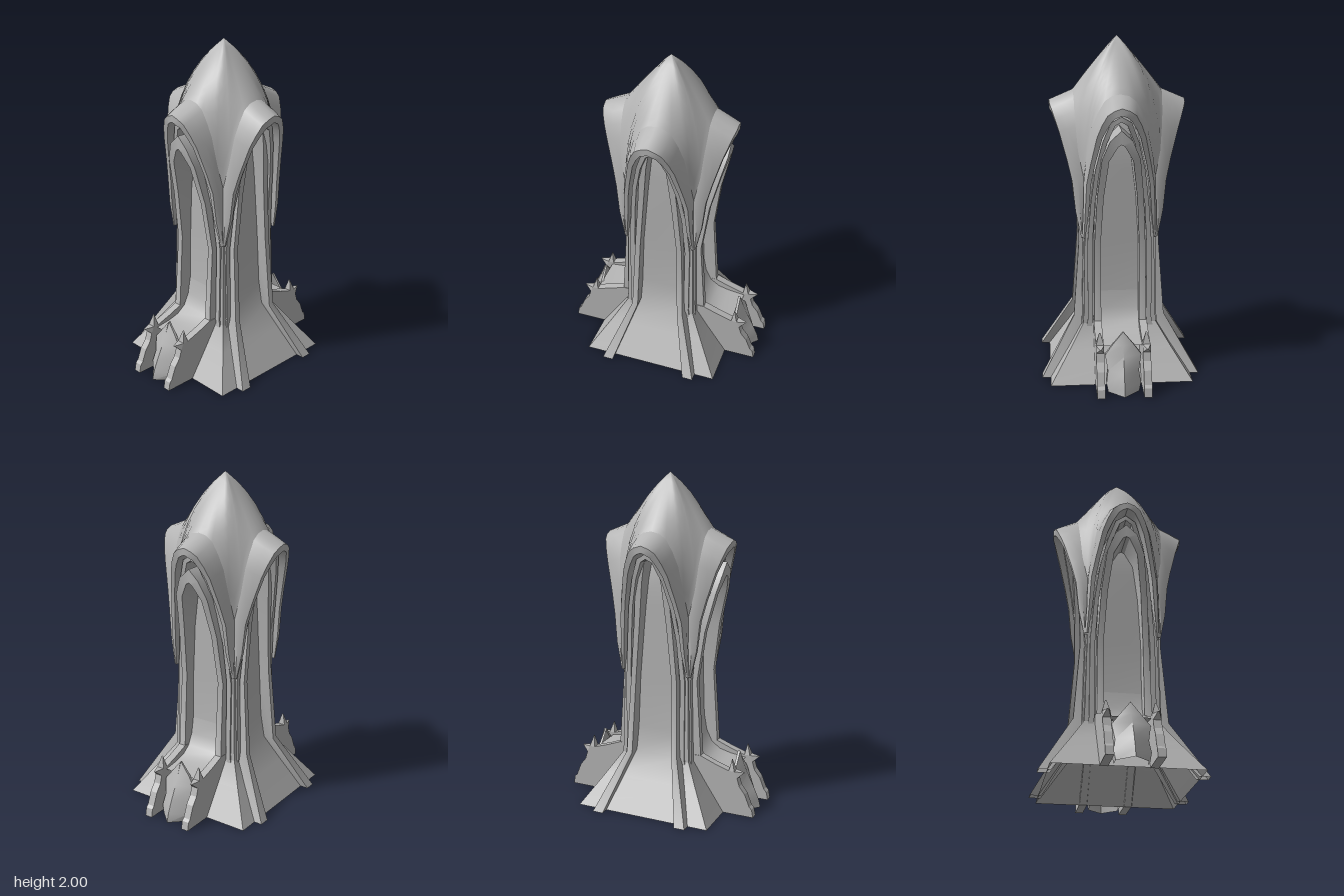
import * as THREE from 'three';
import { toCreasedNormals } from 'three/addons/utils/BufferGeometryUtils.js';

const stone = new THREE.MeshStandardMaterial({ color: 0xb4b4b4, side: THREE.DoubleSide });
stone.name = 'grey stone';

// Surface through rows of [x, y, z] points; columns run left to right, rows top to bottom
function grid(rows, crease = 0.6) {
  const n = rows[0].length, index = [];
  for (let i = 0; i < rows.length - 1; i++) {
    for (let j = 0; j < n - 1; j++) {
      const a = i * n + j, b = a + n;
      index.push(a, b, a + 1, a + 1, b, b + 1);
    }
  }
  const geo = new THREE.BufferGeometry();
  geo.setAttribute('position', new THREE.Float32BufferAttribute(rows.flat(2), 3));
  geo.setIndex(index);
  return toCreasedNormals(geo, crease);
}

function add(parent, name, geo) {
  const mesh = new THREE.Mesh(geo, stone);
  mesh.name = name;
  parent.add(mesh);
  return mesh;
}

// Half path (apex first) to a full left-to-right arch
const mirror = (half) => [
  ...half.slice(1).reverse().map(([u, ...rest]) => [-u, ...rest]),
  ...half,
];

// Open square loft from [halfSize, y, centre] sections, listed top to bottom
function squareLoft(sections) {
  const turn = [[-1, 1], [1, 1], [1, -1], [-1, -1], [-1, 1]];
  return grid(sections.map(([h, y, c = 0]) => turn.map(([x, z]) => [c + x * h, y, c + z * h])), 0.7);
}

// Arch moulding with a rectangular section; half path points are [u, y, w, width].
// Its back sits just behind the shaft wall and follows the flare of the base.
function archFrame(half) {
  const path = mirror(half);
  const rows = [[], [], [], []];
  const backAt = (y) => (y < 0.34 ? 0.19 + (0.34 - y) * 0.62 : 0.15);
  path.forEach(([u, y, w, t], i) => {
    const p = path[Math.max(i - 1, 0)], q = path[Math.min(i + 1, path.length - 1)];
    const dx = q[0] - p[0], dy = q[1] - p[1], len = Math.hypot(dx, dy);
    const iu = u + (dy / len) * t, iy = Math.max(0, y - (dx / len) * t);
    rows[0].push([u, y, backAt(y)]);
    rows[1].push([u, y, w]);
    rows[2].push([iu, iy, w]);
    rows[3].push([iu, iy, backAt(iy)]);
  });
  return grid(rows, 0.5);
}

// Where the crown meets each hood, and the projecting lip of the hood
const crownEdge = [
  [0, 1.69, 0.26], [0.05, 1.68, 0.26], [0.09, 1.65, 0.257], [0.13, 1.58, 0.255], [0.162, 1.5, 0.25],
  [0.19, 1.35, 0.238], [0.208, 1.2, 0.208], [0.208, 1.0, 0.205], [0.215, 0.85, 0.215],
];
const lipEdge = [
  [0, 1.63, 0.4, 0.04], [0.045, 1.615, 0.398, 0.04], [0.08, 1.59, 0.388, 0.04], [0.112, 1.53, 0.368, 0.035],
  [0.138, 1.46, 0.345, 0.03], [0.172, 1.3, 0.302, 0.025], [0.194, 1.18, 0.275, 0.025],
  [0.203, 1.0, 0.257, 0.02], [0.21, 0.84, 0.225, 0.008],
];
const stepArch = [
  [0, 1.575, 0.34, 0.03], [0.06, 1.54, 0.33, 0.03], [0.105, 1.42, 0.3, 0.025], [0.145, 1.25, 0.265, 0.025],
  [0.17, 1.05, 0.235, 0.025], [0.19, 0.8, 0.215, 0.03], [0.19, 0.34, 0.225, 0.03], [0.2, 0.28, 0.23, 0.03],
];
const frontArch = [
  [0, 1.5, 0.36, 0.08], [0.065, 1.44, 0.36, 0.055], [0.11, 1.33, 0.335, 0.042], [0.135, 1.1, 0.28, 0.038],
  [0.15, 0.8, 0.24, 0.036], [0.155, 0.34, 0.27, 0.042], [0.158, 0, 0.45, 0.045],
];
const sideArch = [
  [0, 1.58, 0.28, 0.03], [0.065, 1.53, 0.275, 0.03], [0.1, 1.4, 0.265, 0.04], [0.12, 1.15, 0.247, 0.035],
  [0.148, 0.8, 0.238, 0.032], [0.165, 0.34, 0.272, 0.035], [0.3, 0, 0.47, 0.07],
];

// Pointed crown: columns curve from the tip down to the four hood edges
function crown() {
  const edge = mirror(crownEdge.slice(0, 7));
  const rim = [];
  for (let k = 0; k < 4; k++) {
    const c = Math.round(Math.cos(k * Math.PI / 2)), s = Math.round(Math.sin(k * Math.PI / 2));
    edge.slice(0, -1).forEach(([u, y, w]) => rim.push([u * c + w * s, y, w * c - u * s]));
  }
  rim.push(rim[0]);
  const rows = [];
  for (let i = 0; i <= 8; i++) {
    const t = i / 8, a = 2 * t * (1 - t), b = t * t;
    rows.push(rim.map(([x, y, z]) => {
      const drop = (1.69 - y) / 0.49;
      const pull = 0.6 + 0.5 * drop, cy = 1.83 - 0.08 * drop;
      return [x * (a * pull + b), 2 * (1 - t) ** 2 + a * cy + b * y, z * (a * pull + b)];
    }));
  }
  return grid(rows, 1.2);
}

// Hood: gently swollen skin from the crown out to the lip
function hood() {
  const inner = mirror(crownEdge), outer = mirror(lipEdge).map((p) => p.slice(0, 3));
  const middle = inner.map(([u, y, w], i) => {
    const [lu, ly, lw] = outer[i];
    return [(u + lu) * 0.52, (y + ly) / 2, (w + lw) / 2];
  });
  return grid([inner, middle, outer], 1.2);
}

// Upright buttress with a spiked, scooped outer edge
function finGeometry() {
  const outline = [
    [0.41, 0], [0.61, 0], [0.6, 0.05], [0.585, 0.065], [0.555, 0.14], [0.52, 0.185], [0.505, 0.235], [0.545, 0.27],
    [0.487, 0.275], [0.465, 0.345], [0.452, 0.275], [0.36, 0.305], [0.27, 0.34], [0.2, 0.34], [0.295, 0.18],
  ].map(([z, y]) => new THREE.Vector2(z, y));
  const geo = new THREE.ExtrudeGeometry(new THREE.Shape(outline), { depth: 0.046, bevelEnabled: false });
  geo.rotateY(-Math.PI / 2).translate(0.023, 0, 0);
  // Pinch the raised spikes to points
  const pos = geo.attributes.position;
  for (let i = 0; i < pos.count; i++) {
    const spike = pos.getY(i) > 0.343 || (pos.getZ(i) > 0.54 && pos.getY(i) > 0.2);
    if (spike) pos.setX(i, pos.getX(i) * 0.15);
  }
  geo.computeVertexNormals();
  return geo;
}

// Porch: two fins, a roof sweeping out of the wall and a ridged pointed door
function porch() {
  const group = new THREE.Group();
  group.name = 'porch';
  for (const side of [-1, 1]) add(group, 'porchFin', finGeometry()).position.x = side * 0.135;
  const roof = [[0.5, 0.182], [0.4, 0.2], [0.33, 0.235], [0.29, 0.29], [0.272, 0.36], [0.26, 0.46]];
  add(group, 'porchRoof', grid(roof.map(([y, z]) => [[-0.118, y, z], [0.118, y, z]]), 0.8));
  const door = [
    [0.345, 0, 0.465, 0.46], [0.27, 0.06, 0.49, 0.465], [0.21, 0.105, 0.515, 0.475],
    [0.12, 0.09, 0.56, 0.495], [0.05, 0.1, 0.59, 0.515], [0, 0.09, 0.602, 0.52],
  ];
  add(group, 'door', grid(door.map(([y, u, ridge, edge]) => [
    [-u, y, 0.45], [-u, y, edge], [0, y, ridge], [u, y, edge], [u, y, 0.45],
  ]), 0.9));
  return group;
}

export function createModel() {
  const model = new THREE.Group();
  model.name = 'tower';

  // Hollow shaft sweeping out into a flared base
  add(model, 'shaft', squareLoft([
    [0.1, 1.68], [0.165, 1.5], [0.175, 1.25], [0.172, 0.8], [0.182, 0.48], [0.205, 0.33], [0.3, 0.18], [0.42, 0],
  ]));
  add(model, 'crown', crown());

  for (let k = 0; k < 4; k++) {
    const face = new THREE.Group();
    face.name = ['frontFace', 'leftFace', 'backFace', 'rightFace'][k];
    face.rotation.y = k * Math.PI / 2;
    const main = k % 2 === 0;

    // Flaring hood with its thick lip
    add(face, 'hood', hood());
    add(face, 'hoodLip', archFrame(lipEdge));

    // Stepped mouldings around the tall recess
    add(face, 'outerMoulding', archFrame(stepArch));
    add(face, main ? 'innerArch' : 'sideRib', archFrame(main ? frontArch : sideArch));

    // Slim pillar at the corner
    add(face, 'cornerPillar', squareLoft([
      [0.02, 1.15, 0.175], [0.027, 0.8, 0.178], [0.03, 0.36, 0.185], [0.03, 0.28, 0.19],
    ]));

    if (main) face.add(porch());
    model.add(face);
  }
  return model;
}
